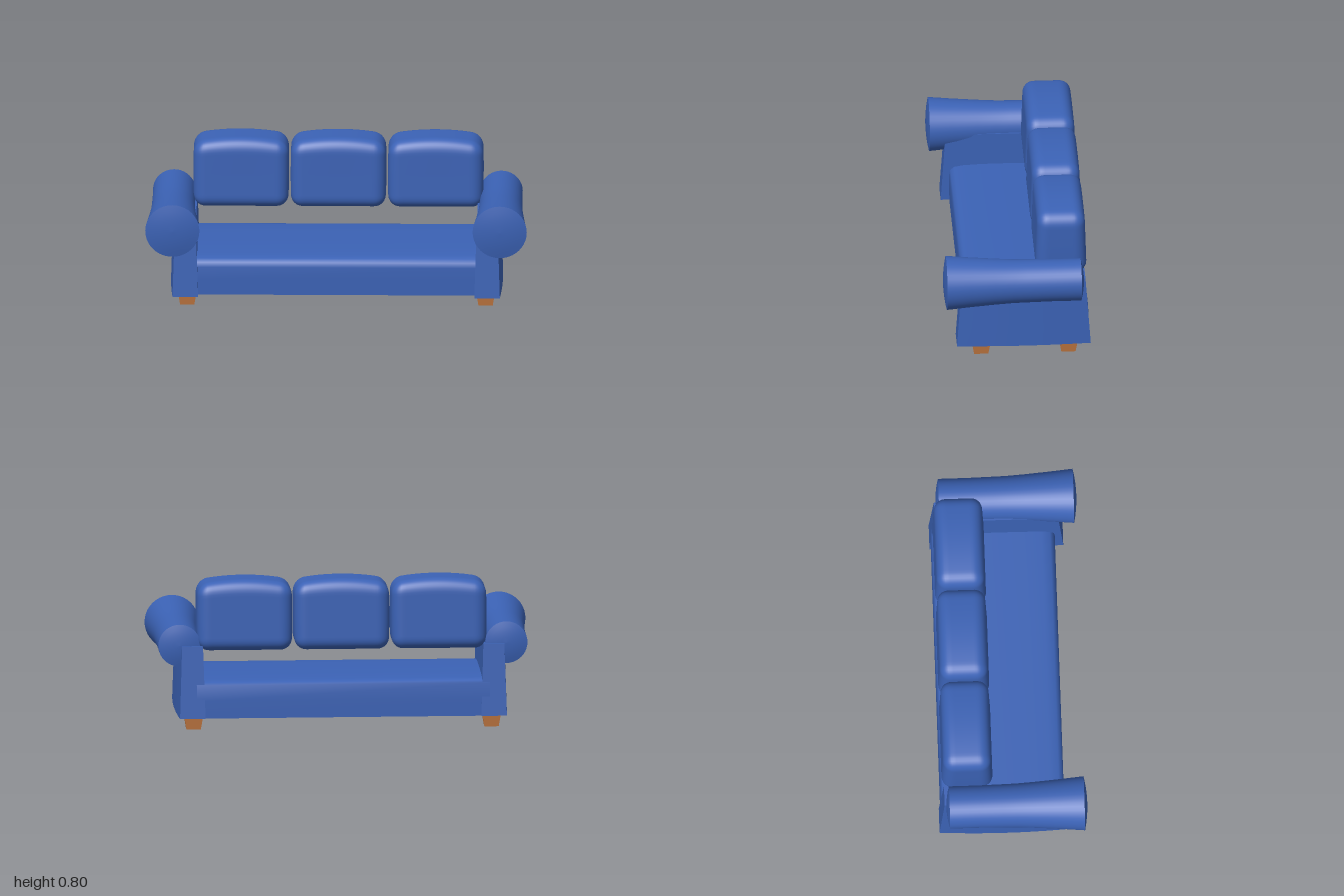
import * as THREE from 'three';
import { mergeVertices } from 'three/addons/utils/BufferGeometryUtils.js';

const fabric = new THREE.MeshStandardMaterial({ color: 0x3b62b5 });
const fabricShell = new THREE.MeshStandardMaterial({ color: 0x3b62b5, side: THREE.DoubleSide });
const wood = new THREE.MeshStandardMaterial({ color: 0xc47a42 });

function mesh(name, geometry, material, x = 0, y = 0, z = 0) {
  const m = new THREE.Mesh(geometry, material);
  m.name = name;
  m.position.set(x, y, z);
  return m;
}

// Move every vertex of a geometry by a rule, then refresh its normals
function warp(geometry, rule) {
  const pos = geometry.attributes.position;
  const p = new THREE.Vector3();
  for (let i = 0; i < pos.count; i++) {
    p.fromBufferAttribute(pos, i);
    rule(p, i);
    pos.setXYZ(i, p.x, p.y, p.z);
  }
  geometry.computeVertexNormals();
  return geometry;
}

// Plump cushion: rounded box with a domed top and thinner upper edge
function cushionGeometry() {
  const half = new THREE.Vector3(0.25, 0.175, 0.13), r = 0.06;
  const inner = half.clone().subScalar(r), outer = inner.clone().negate();
  let g = new THREE.BoxGeometry(half.x * 2, half.y * 2, half.z * 2, 32, 24, 18);
  g.deleteAttribute('uv');
  g.deleteAttribute('normal');
  g = mergeVertices(g);
  return warp(g, (p) => {
    const core = p.clone().clamp(outer, inner);
    p.sub(core).normalize().multiplyScalar(r).add(core);
    const u = p.x / half.x, v = p.y / half.y;
    if (v > 0) p.y += 0.025 * v * (1 - u * u);
    p.z *= 1 - 0.045 * v;
    p.x *= 1 - 0.012 * v * v;
  });
}

// Seat: sheet bent over the back, top and front, open below
function seatGeometry() {
  const profile = [
    [-0.38, 0.07], [-0.38, 0.16], [-0.378, 0.245], [-0.365, 0.258], [-0.33, 0.268], [-0.2, 0.274],
    [-0.05, 0.276], [0.1, 0.275], [0.2, 0.27], [0.245, 0.262], [0.264, 0.245], [0.27, 0.22],
    [0.27, 0.15], [0.27, 0.07],
  ];
  const g = new THREE.PlaneGeometry(1.54, 1, 1, profile.length - 1);
  return warp(g, (p, i) => {
    [p.z, p.y] = profile[Math.floor(i / 2)];
  });
}

// Arm panel: box narrowing upwards with a gently bowed outer face
function armPanelGeometry(side) {
  const g = new THREE.BoxGeometry(1, 1, 1, 1, 4, 10);
  return warp(g, (p) => {
    const t = p.y + 0.5, isOuter = p.x * side > 0;
    const bow = 0.012 * (1 - 4 * p.z * p.z);
    const front = 0.315 - 0.026 * t, back = -0.387 + 0.027 * t;
    p.x = side * (isOuter ? 0.858 - 0.012 * t + bow : 0.724 + 0.012 * t);
    p.y = 0.07 + 0.38 * t;
    p.z = THREE.MathUtils.lerp(back, front, p.z + 0.5);
  });
}

// Arm roll: flared bolster with shallow domed ends, turned about z
function armRollGeometry() {
  const barrel = [[0.111, -0.335], [0.111, -0.18], [0.1135, -0.05], [0.115, 0.02],
    [0.121, 0.12], [0.131, 0.25], [0.142, 0.372]];
  const cap = (r, z, dir) => [0, 0.25, 0.5, 0.75, 1].map((k) => [r * k, z + dir * 0.016 * (1 - k * k)]);
  return [cap(0.111, -0.335, -1), barrel, cap(0.142, 0.372, 1).reverse()].map((pts) =>
    new THREE.LatheGeometry(pts.map(([r, z]) => new THREE.Vector2(r, z)), 40).rotateX(Math.PI / 2));
}

// Foot: square block tapering to the floor
function footGeometry() {
  const g = new THREE.BoxGeometry(0.098, 0.07, 0.098);
  return warp(g, (p) => {
    if (p.y < 0) {
      p.x *= 0.76;
      p.z *= 0.76;
    }
  });
}

export function createModel() {
  const sofa = new THREE.Group();
  sofa.name = 'sofa';
  sofa.add(mesh('seat', seatGeometry(), fabricShell));

  // Three back cushions in a row
  const cushion = cushionGeometry();
  for (const x of [-0.505, 0.005, 0.515]) sofa.add(mesh('backCushion', cushion, fabric, x, 0.597, -0.238));

  // Arms and feet on both sides
  const foot = footGeometry();
  for (const side of [-1, 1]) {
    const arm = new THREE.Group();
    arm.name = side > 0 ? 'leftArm' : 'rightArm';
    arm.add(mesh('armPanel', armPanelGeometry(side), fabric));
    for (const g of armRollGeometry()) arm.add(mesh('armRoll', g, fabric, side * 0.858, 0.452, 0));
    sofa.add(arm);
    for (const z of [0.186, -0.272]) sofa.add(mesh('foot', foot, wood, side * 0.782, 0.035, z));
  }
  return sofa;
}
